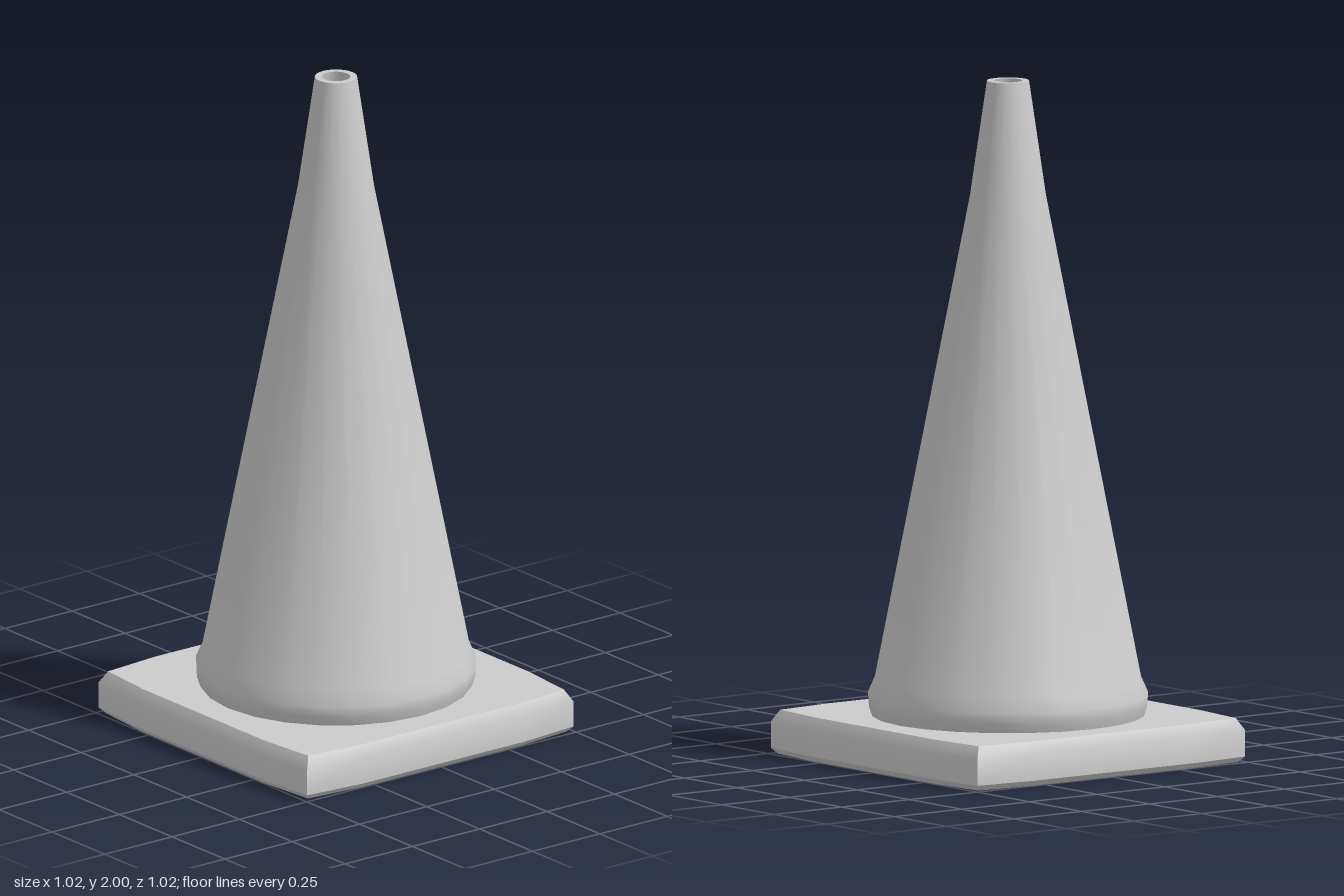
import * as THREE from 'three';
import { mergeGeometries, toCreasedNormals } from 'three/addons/utils/BufferGeometryUtils.js';

const SIDES = 24;
const HOLE = 0.385;
const CREASE = 0.65;

// Slightly bulging square, counter-clockwise, with sharp corners
function outline(scale) {
  const points = [];
  for (let i = 0; i < 4; i++) {
    for (const [x, y] of [[0.512, -0.3], [0.512, 0.3], [0.494, 0.494]]) {
      points.push(new THREE.Vector2(x, y).multiplyScalar(scale).rotateAround(new THREE.Vector2(), i * Math.PI / 2));
    }
  }
  return points;
}

// Flat face of the base with the round opening
function cap(scale, y, up) {
  const shape = new THREE.Shape(outline(scale));
  shape.holes.push(new THREE.Path().absarc(0, 0, HOLE, 0, Math.PI * 2, true));
  const geometry = new THREE.ShapeGeometry(shape, SIDES).toNonIndexed();
  geometry.rotateX(up ? -Math.PI / 2 : Math.PI / 2).translate(0, y, 0);
  geometry.deleteAttribute('uv');
  return geometry;
}

// Base rim: outline rings joined from bottom to top
function rim(levels) {
  const rings = levels.map(([scale, y]) => outline(scale).map(p => [p.x, y, -p.y]));
  const positions = [];
  for (let r = 0; r < rings.length - 1; r++) {
    const a = rings[r], b = rings[r + 1], n = a.length;
    for (let i = 0; i < n; i++) {
      const j = (i + 1) % n;
      positions.push(...a[i], ...a[j], ...b[j], ...a[i], ...b[j], ...b[i]);
    }
  }
  const geometry = new THREE.BufferGeometry();
  geometry.setAttribute('position', new THREE.Float32BufferAttribute(positions, 3));
  geometry.computeVertexNormals();
  return geometry;
}

export function createModel() {
  const group = new THREE.Group();
  group.name = 'trafficCone';
  const grey = new THREE.MeshStandardMaterial({ color: 0xcccccc });
  grey.name = 'lightGrey';

  // Square base plate with bevelled edges
  const levels = [[0.97, 0], [1, 0.017], [1, 0.095], [0.96, 0.13]];
  const baseGeometry = mergeGeometries([rim(levels), cap(0.97, 0, false), cap(0.96, 0.13, true)]);
  const base = new THREE.Mesh(toCreasedNormals(baseGeometry, CREASE), grey);
  base.name = 'base';

  // Hollow cone: outer wall up, over the lip, inner wall down
  const profile = [
    [0.4, 0.13], [0.41, 0.16], [0.412, 0.19], [0.392, 0.235], [0.112, 1.66], [0.062, 2],
    [0.042, 2], [0.092, 1.66], [0.37, 0.235], [HOLE, 0.16], [HOLE, 0],
  ].map(([r, y]) => new THREE.Vector2(r, y));
  const cone = new THREE.Mesh(toCreasedNormals(new THREE.LatheGeometry(profile, SIDES), CREASE), grey);
  cone.name = 'cone';

  group.add(base, cone);
  return group;
}
